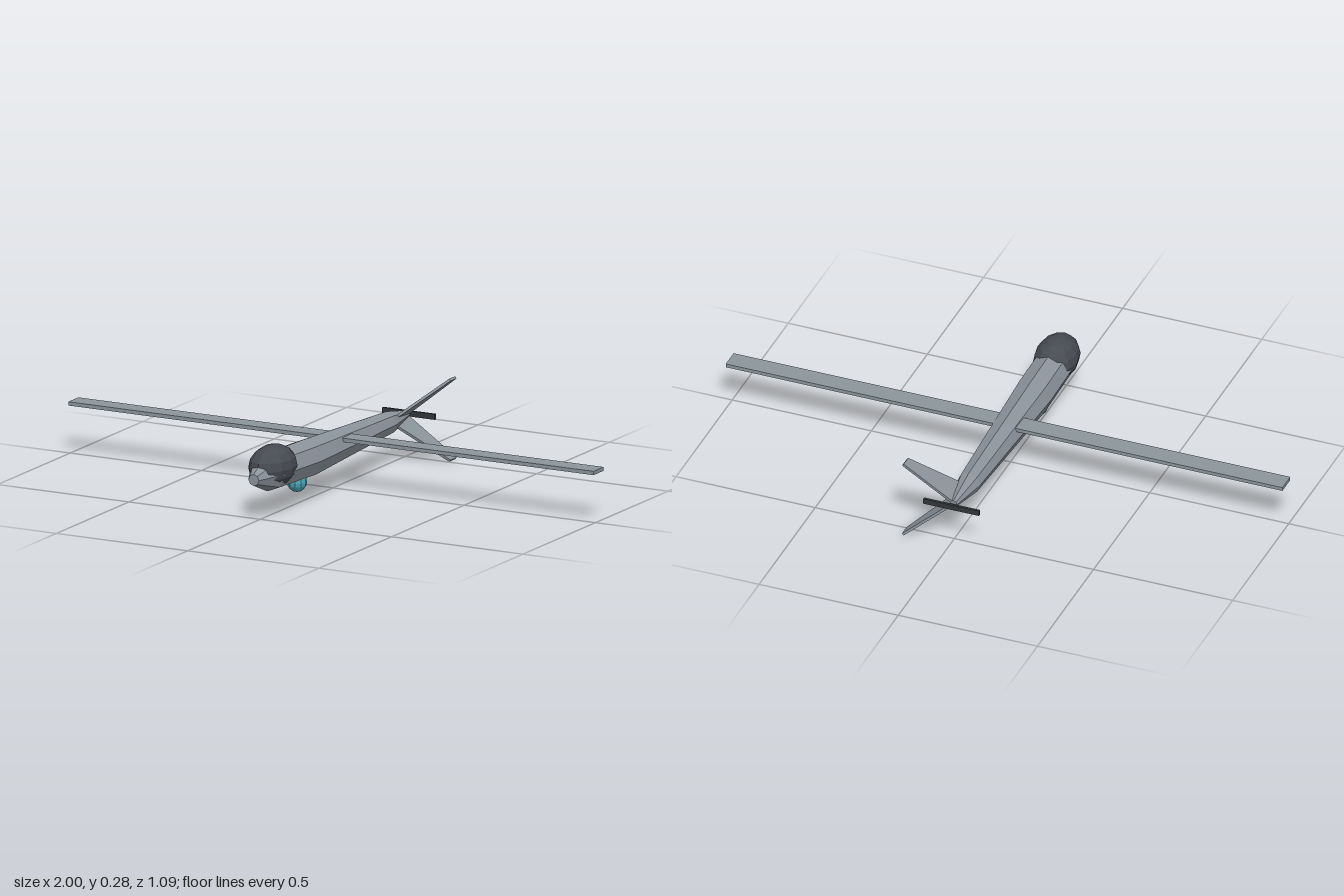
import * as THREE from 'three';

const paint = (name, color) => {
  const m = new THREE.MeshStandardMaterial({ color, flatShading: true });
  m.name = name;
  return m;
};

export function createModel() {
  const group = new THREE.Group();
  const hullGrey = paint('hull grey', 0x8c949c);
  const wingGrey = paint('wing grey', 0x8b969b);
  const darkGrey = paint('dark grey', 0x474b52);
  const propBlack = paint('propeller black', 0x34373a);
  const lensTeal = paint('lens teal', 0x4aa5b5);

  const add = (name, geometry, material, x = 0, y = 0, z = 0) => {
    const mesh = new THREE.Mesh(geometry, material);
    mesh.name = name;
    mesh.position.set(x, y, z);
    group.add(mesh);
    return mesh;
  };

  // Fuselage: eight-sided tube, each ring fitted to [z, centre y, radius]
  const rings = [
    [0.545, 0.15, 0.02],
    [0.45, 0.157, 0.066],
    [0.2, 0.148, 0.067],
    [-0.37, 0.148, 0.04],
    [-0.508, 0.149, 0.013],
  ];
  const hull = new THREE.CylinderGeometry(1, 1, rings.length - 1, 8, rings.length - 1);
  hull.rotateX(Math.PI / 2);
  const p = hull.attributes.position;
  for (let i = 0; i < p.count; i++) {
    const [z, cy, r] = rings[Math.round((rings.length - 1) / 2 - p.getZ(i))];
    p.setXYZ(i, p.getX(i) * r, cy + p.getY(i) * r, z);
  }
  hull.computeVertexNormals();
  add('fuselage', hull, hullGrey);

  // Bulged dome over the nose
  const dome = new THREE.SphereGeometry(1, 12, 8).scale(0.074, 0.074, 0.107);
  add('noseDome', dome, darkGrey, 0, 0.17, 0.413);

  // Camera ball under the belly
  add('cameraBall', new THREE.SphereGeometry(0.034, 10, 8), lensTeal, 0, 0.08, 0.247);

  // One straight wing through the body
  add('wing', new THREE.BoxGeometry(2, 0.013, 0.07), wingGrey, 0, 0.178, -0.022);

  // Two swept tail fins, both on the left side, angled up and down
  const outline = new THREE.Shape([
    new THREE.Vector2(0, 0.388),
    new THREE.Vector2(0.217, 0.505),
    new THREE.Vector2(0.217, 0.546),
    new THREE.Vector2(0, 0.505),
  ]);
  const fin = new THREE.ExtrudeGeometry(outline, { depth: 0.009, bevelEnabled: false });
  fin.translate(0, 0, -0.0045).rotateX(-Math.PI / 2);
  for (const side of [1, -1]) {
    const mesh = add(side > 0 ? 'upperTailFin' : 'lowerTailFin', fin, hullGrey, 0, 0.148, 0);
    mesh.rotation.z = side * 0.695;
  }

  // Pusher propeller behind the tail
  add('propeller', new THREE.BoxGeometry(0.2, 0.019, 0.009), propBlack, 0, 0.148, -0.525);

  return group;
}
